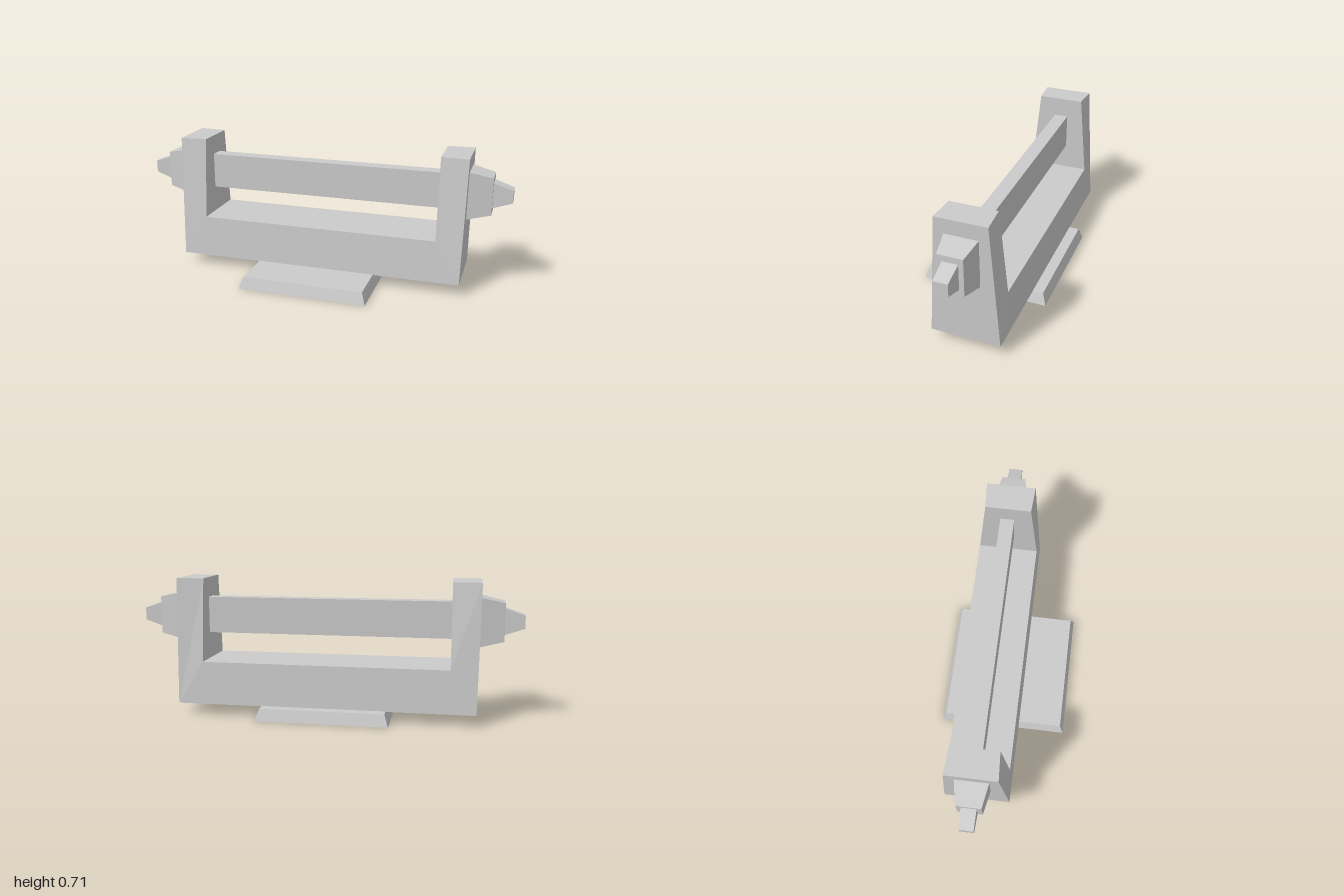
import * as THREE from 'three';

const material = new THREE.MeshStandardMaterial({ color: 0xcccccc, flatShading: true });
const AXIS_Y = 0.5125; // height of the roller axis
const AXIS_Z = -0.0875; // the cradle sits behind the middle of the base

function addPart(parent, name, geometry, x = 0, y = 0, z = 0) {
  const mesh = new THREE.Mesh(geometry, material);
  mesh.name = name;
  mesh.position.set(x, y, z);
  parent.add(mesh);
  return mesh;
}

// Box standing on y = 0 whose top is a scaled copy of its bottom
function taperedBox(width, height, depth, topX, topZ) {
  const geometry = new THREE.BoxGeometry(width, height, depth).translate(0, height / 2, 0);
  const p = geometry.attributes.position;
  for (let i = 0; i < p.count; i++) {
    if (p.getY(i) > height / 2) {
      p.setX(i, p.getX(i) * topX);
      p.setZ(i, p.getZ(i) * topZ);
    }
  }
  geometry.computeVertexNormals();
  return geometry;
}

// U-shaped cradle: extruded outline, thinned in z towards the top
function cradleGeometry() {
  const half = [[0.773, 0.06], [0.783, 0.715], [0.64, 0.715], [0.64, 0.282]];
  const mirrored = half.map(([x, y]) => [-x, y]).reverse();
  const shape = new THREE.Shape([...half, ...mirrored].map(([x, y]) => new THREE.Vector2(x, y)));
  const geometry = new THREE.ExtrudeGeometry(shape, { depth: 2, bevelEnabled: false });
  geometry.translate(0, 0, -1);
  const p = geometry.attributes.position;
  for (let i = 0; i < p.count; i++) {
    const y = p.getY(i);
    let halfDepth = Math.abs(p.getX(i)) > 0.7 ? 0.13 : 0.121;
    if (y < 0.1) halfDepth = 0.178;
    else if (y < 0.3) halfDepth = 0.165;
    p.setZ(i, p.getZ(i) * halfDepth);
  }
  geometry.computeVertexNormals();
  return geometry;
}

export function createModel() {
  const model = new THREE.Group();
  model.name = 'cradleStand';

  addPart(model, 'base', taperedBox(0.684, 0.062, 0.684, 0.94, 0.94));
  addPart(model, 'cradle', cradleGeometry(), 0, 0, AXIS_Z);
  addPart(model, 'crossbar', new THREE.BoxGeometry(1.3, 0.19, 0.075), 0, AXIS_Y + 0.003, AXIS_Z - 0.005);

  // Stepped end caps, one on each upright
  for (const side of [1, -1]) {
    const cap = new THREE.Group();
    cap.name = side > 0 ? 'leftEndCap' : 'rightEndCap';
    cap.position.set(0, AXIS_Y, AXIS_Z);
    const hub = addPart(cap, 'hub', taperedBox(0.249, 0.121, 0.169, 0.783, 0.74), side * 0.779);
    const tip = addPart(cap, 'tip', taperedBox(0.133, 0.1, 0.077, 0.49, 0.93), side * 0.9);
    hub.rotation.z = tip.rotation.z = -side * Math.PI / 2;
    model.add(cap);
  }
  return model;
}
